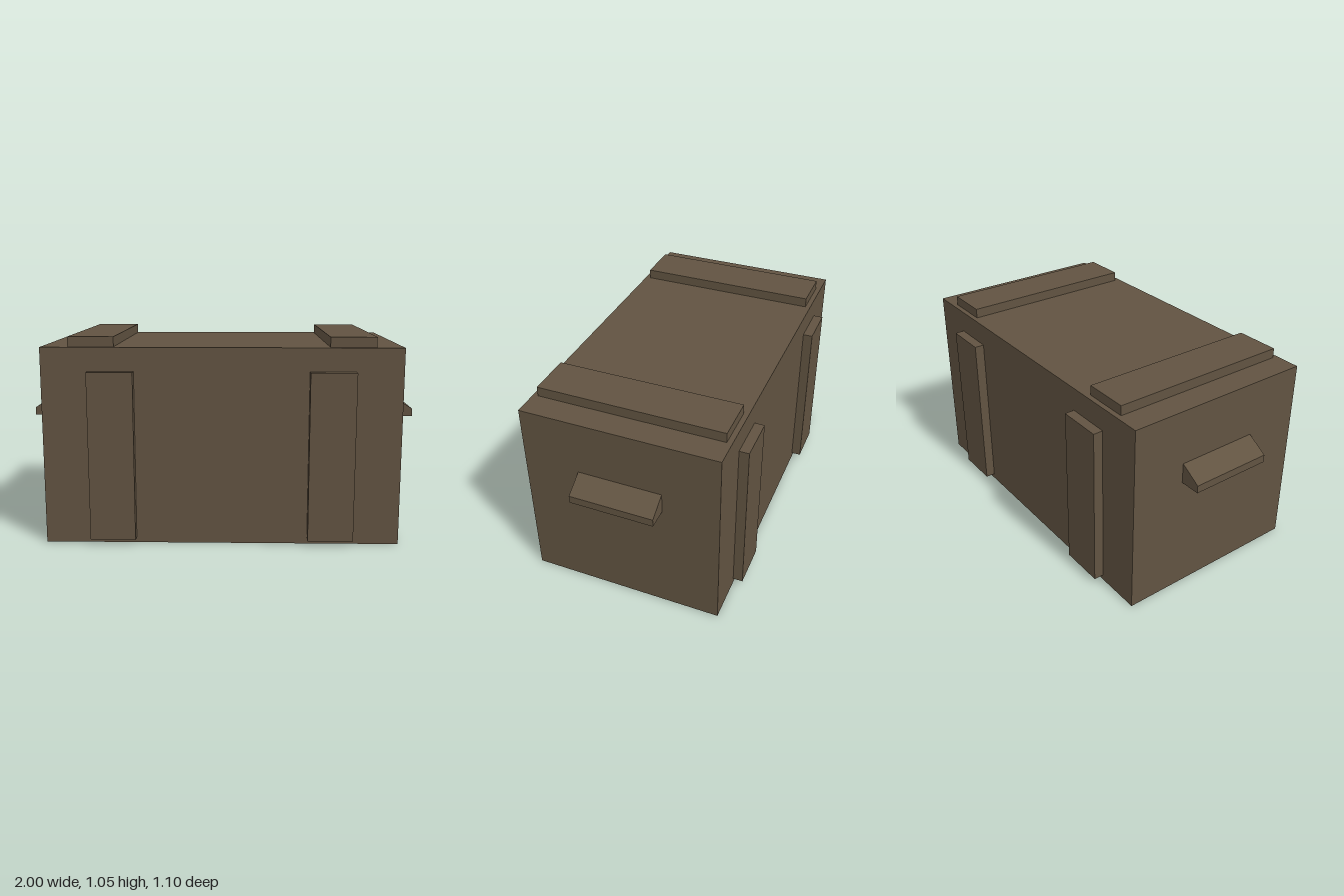
import * as THREE from 'three';

export function createModel() {
  const crate = new THREE.Group();
  crate.name = 'crate';
  const wood = new THREE.MeshStandardMaterial({ color: 0x615341, side: THREE.DoubleSide });
  wood.name = 'brown wood';

  const add = (name, geometry, x = 0, y = 0, z = 0) => {
    const mesh = new THREE.Mesh(geometry, wood);
    mesh.name = name;
    mesh.position.set(x, y, z);
    crate.add(mesh);
    return mesh;
  };

  // Main box: thin shell, open underneath (the bottom face is left out)
  const shell = new THREE.BoxGeometry(1.792, 0.998, 0.998);
  const bottom = shell.groups[3];
  shell.setIndex([...shell.index.array].filter(
    (_, i) => i < bottom.start || i >= bottom.start + bottom.count));
  shell.clearGroups();
  add('body', shell, 0, 0.499, 0);

  // Wedge handle: sloped top, flat underside, extruded along z
  const profile = new THREE.Shape([
    new THREE.Vector2(0.896, 0.61),
    new THREE.Vector2(1, 0.61),
    new THREE.Vector2(1, 0.65),
    new THREE.Vector2(0.896, 0.715),
  ]);
  const handle = new THREE.ExtrudeGeometry(profile, { depth: 0.428, bevelEnabled: false });
  handle.translate(0, 0, -0.214);

  const lidBatten = new THREE.BoxGeometry(0.228, 0.05, 0.946);
  const wallBatten = new THREE.BoxGeometry(0.228, 0.852, 0.05);

  for (const side of [1, -1]) {
    const label = side > 0 ? 'left' : 'right';
    // Planks across the lid
    add(label + 'LidBatten', lidBatten, side * 0.648, 1.023, 0);
    // Upright planks on the front and back walls
    add(label + 'FrontBatten', wallBatten, side * 0.548, 0.454, 0.524);
    add(label + 'BackBatten', wallBatten, side * 0.548, 0.454, -0.524);
    // End handles
    add(label + 'Handle', handle).rotation.y = side > 0 ? 0 : Math.PI;
  }
  return crate;
}
